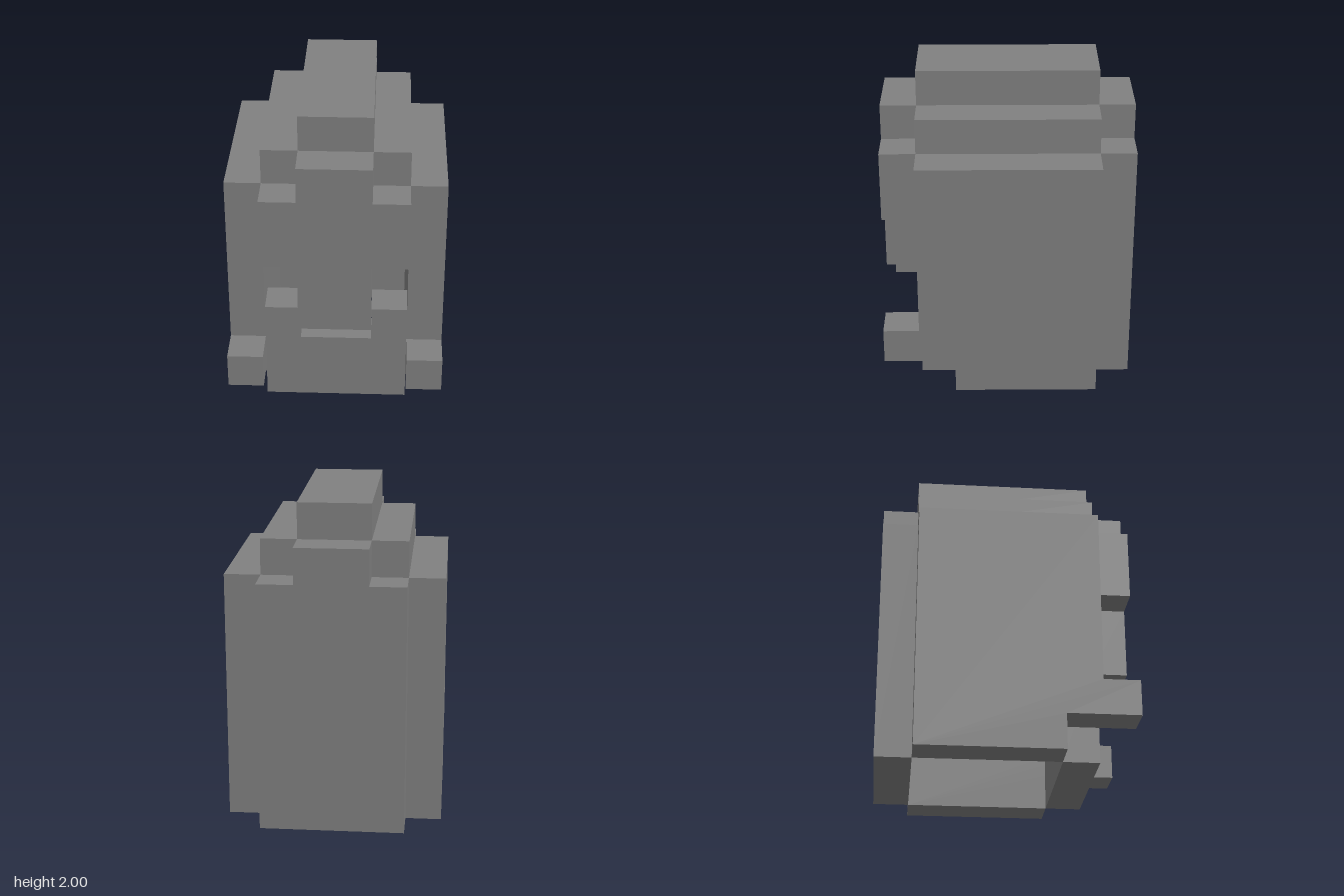
import * as THREE from 'three';

const U = 2 / 9; // one block

// Extrudes a blocky outline (given in block units) one block deep
function slab(points, depth = 1) {
  const shape = new THREE.Shape(points.map(([x, y]) => new THREE.Vector2(x * U, y * U)));
  return new THREE.ExtrudeGeometry(shape, { depth: depth * U, bevelEnabled: false });
}

// Completes a left-right symmetric outline from its +x half
const mirrored = (half) => [...half, ...half.slice().reverse().map(([x, y]) => [-x, y])];

export function createModel() {
  const group = new THREE.Group();
  const grey = new THREE.MeshStandardMaterial({ color: 0x808080 });
  grey.name = 'stone grey';

  const add = (name, geometry, x = 0, y = 0, z = 0) => {
    const mesh = new THREE.Mesh(geometry, grey);
    mesh.name = name;
    mesh.position.set(x * U, y * U, z * U);
    group.add(mesh);
  };
  const box = (w, h, d) => new THREE.BoxGeometry(w * U, h * U, d * U);

  // Back plate with a stepped top
  add('backPlate', slab(mirrored([[2, 0], [2, 7], [1, 7], [1, 8]])), 0, 0, -3.5);

  // Cross-shaped face plate standing out at the front
  add('facePlate', slab(mirrored([[1, 3], [1, 5], [2, 5], [2, 7], [1, 7], [1, 8]])), 0, 0, 2.5);

  // Low front wall with a stepped dip in the middle
  add('frontWall', slab(mirrored([[2, 0], [2, 3], [1, 3], [1, 2]])), 0, 0, 1.5);

  // Side walls, each with a foot notch and a small hand at the front
  const side = slab([[-2.5, 0], [1.5, 0], [1.5, 1], [3.5, 1], [3.5, 2], [2.5, 2], [2.5, 7], [-2.5, 7]]);
  side.rotateY(-Math.PI / 2);
  add('leftWall', side, 3);
  add('rightWall', side, -2);

  // Stepped roof over the hollow body
  add('roofTop', box(2, 1, 5), 0, 8.5, 0);
  for (const s of [-1, 1]) add(s > 0 ? 'leftRoofStep' : 'rightRoofStep', box(1, 1, 5), s * 1.5, 7.5, 0);

  return group;
}
